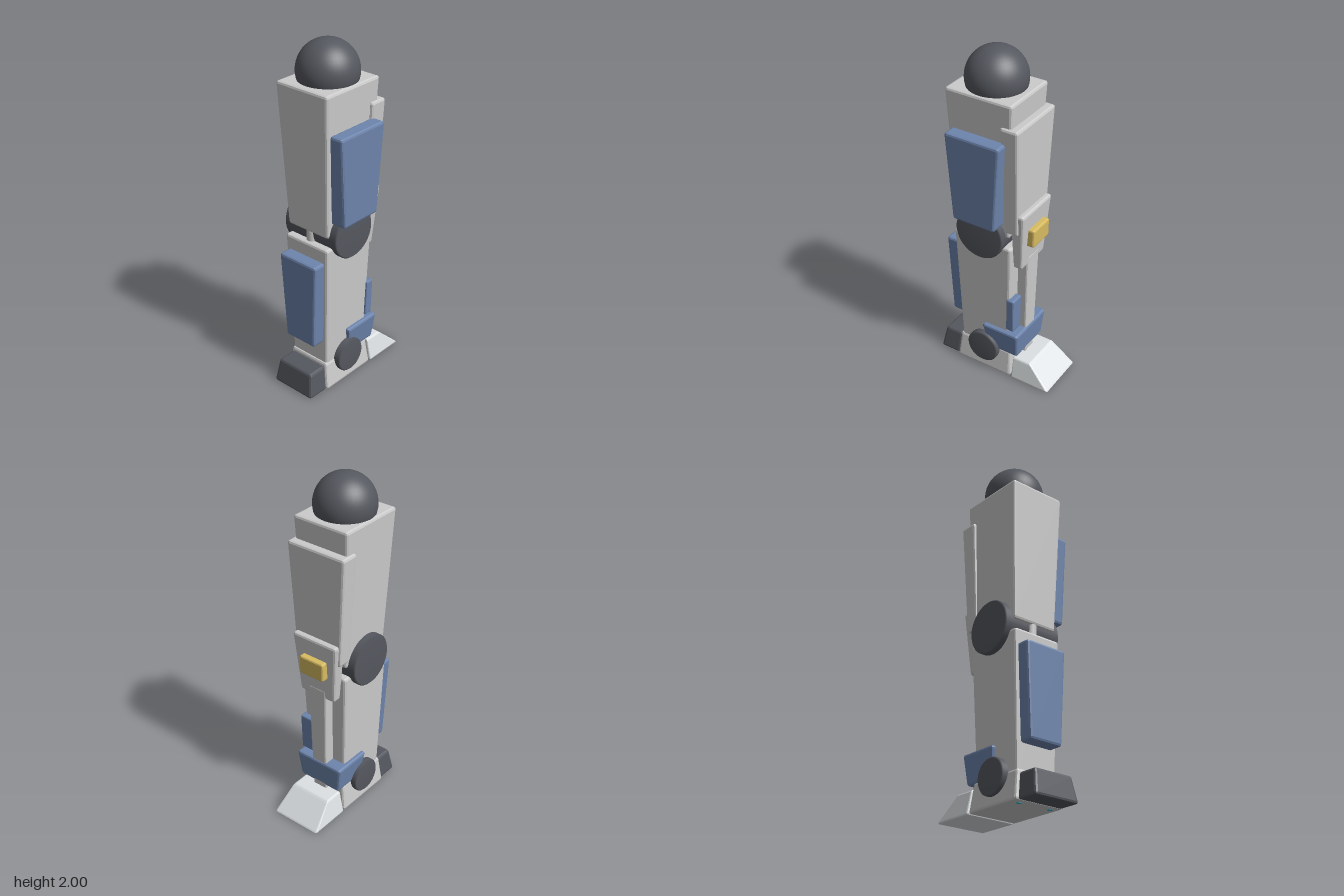
import * as THREE from 'three';
import { RoundedBoxGeometry } from 'three/addons/geometries/RoundedBoxGeometry.js';

const CX = -0.03; // centre line of the leg
const CZ = 0.065; // joint axis depth

const mat = (color) => new THREE.MeshStandardMaterial({ color });

export function createModel() {
  const group = new THREE.Group();
  const grey = mat(0xcccccc);
  const pale = mat(0xdde1e3);
  const dark = mat(0x55585f);
  const blue = mat(0x6e85ad);
  const yellow = mat(0xd8bc62);
  const cyan = mat(0x3fb5c9);

  const add = (name, geometry, material) => {
    const mesh = new THREE.Mesh(geometry, material);
    mesh.name = name;
    group.add(mesh);
    return mesh;
  };

  // Chamfered block between a bottom and a top rectangle, each [x0, x1, z0, z1]
  const block = (name, material, y0, y1, bottom, top, bevel = 0.014) => {
    const w = Math.max(bottom[1] - bottom[0], top[1] - top[0]);
    const d = Math.max(bottom[3] - bottom[2], top[3] - top[2]);
    const h = y1 - y0;
    const geo = new RoundedBoxGeometry(w, h, d, 1, bevel);
    const p = geo.attributes.position;
    const mix = THREE.MathUtils.lerp;
    for (let i = 0; i < p.count; i++) {
      const t = p.getY(i) / h + 0.5;
      const u = p.getX(i) / w + 0.5;
      const v = p.getZ(i) / d + 0.5;
      p.setXYZ(
        i,
        mix(mix(bottom[0], bottom[1], u), mix(top[0], top[1], u), t),
        mix(y0, y1, t),
        mix(mix(bottom[2], bottom[3], v), mix(top[2], top[3], v), t)
      );
    }
    geo.computeVertexNormals();
    return add(name, geo, material);
  };

  // Drum joint lying along x, with a small rounded rim
  const drum = (name, y, radius, x0, x1) => {
    const h = (x1 - x0) / 2;
    const b = 0.008;
    const profile = [[0, -h], [radius - b, -h], [radius, b - h], [radius, h - b], [radius - b, h], [0, h]];
    const geo = new THREE.LatheGeometry(profile.map(([r, t]) => new THREE.Vector2(r, t)), 40);
    geo.rotateZ(-Math.PI / 2);
    add(name, geo, dark).position.set((x0 + x1) / 2, y, CZ);
  };

  // Hip and thigh
  add('hipBall', new THREE.SphereGeometry(0.167, 40, 24), dark).position.set(CX, 1.833, 0.062);
  block('thigh', grey, 0.97, 1.79, [-0.17, 0.11, -0.10, 0.228], [-0.203, 0.145, -0.138, 0.265]);
  block('thighSidePanel', blue, 1.05, 1.57, [0.095, 0.203, -0.065, 0.195], [0.13, 0.212, -0.103, 0.23]);
  block('thighBackPanel', grey, 1.01, 1.66, [-0.178, 0.118, -0.16, -0.08], [-0.215, 0.155, -0.178, -0.07]);

  // Knee
  drum('kneeDrum', 0.962, 0.148, -0.215, 0.155);
  add('kneeRod', new THREE.CylinderGeometry(0.03, 0.03, 0.16, 20), grey).position.set(CX, 0.94, 0.195);
  block('kneeBackPlate', grey, 0.775, 1.14, [-0.145, 0.085, -0.168, -0.115], [-0.175, 0.117, -0.195, -0.11]);
  block('kneeLamp', yellow, 0.92, 1.03, [-0.11, 0.05, -0.22, -0.15], [-0.11, 0.05, -0.222, -0.15], 0.01);

  // Shin
  block('shin', grey, 0.14, 0.91, [-0.155, 0.095, -0.09, 0.225], [-0.18, 0.122, -0.117, 0.245]);
  block('shinFrontPanel', blue, 0.3, 0.825, [-0.133, 0.073, 0.2, 0.305], [-0.16, 0.1, 0.225, 0.315]);
  block('calfStrut', grey, 0.13, 0.83, [-0.075, 0.015, -0.155, -0.08], [-0.09, 0.03, -0.173, -0.09], 0.01);
  block('calfFin', blue, 0.34, 0.56, [0.035, 0.115, -0.135, -0.085], [0.035, 0.12, -0.14, -0.09], 0.008);

  // Ankle
  block('ankleGuard', blue, 0.155, 0.32, [-0.165, 0.105, -0.155, 0.04], [-0.187, 0.127, -0.168, 0.072]);
  drum('ankleDrum', 0.153, 0.1, -0.197, 0.137);

  // Foot
  block('foot', grey, 0, 0.165, [-0.183, 0.123, -0.118, 0.248], [-0.16, 0.1, -0.105, 0.235]);
  block('toe', dark, 0, 0.145, [-0.17, 0.112, 0.245, 0.377], [-0.15, 0.09, 0.235, 0.35]);
  block('heel', pale, 0, 0.135, [-0.185, 0.125, -0.377, -0.125], [-0.155, 0.097, -0.235, -0.125], 0.01);

  // Small discs set in the sole
  for (const x of [CX - 0.1, CX + 0.1]) {
    add('soleDisc', new THREE.CylinderGeometry(0.014, 0.014, 0.012, 16), cyan).position.set(x, 0.004, 0.21);
  }

  return group;
}
